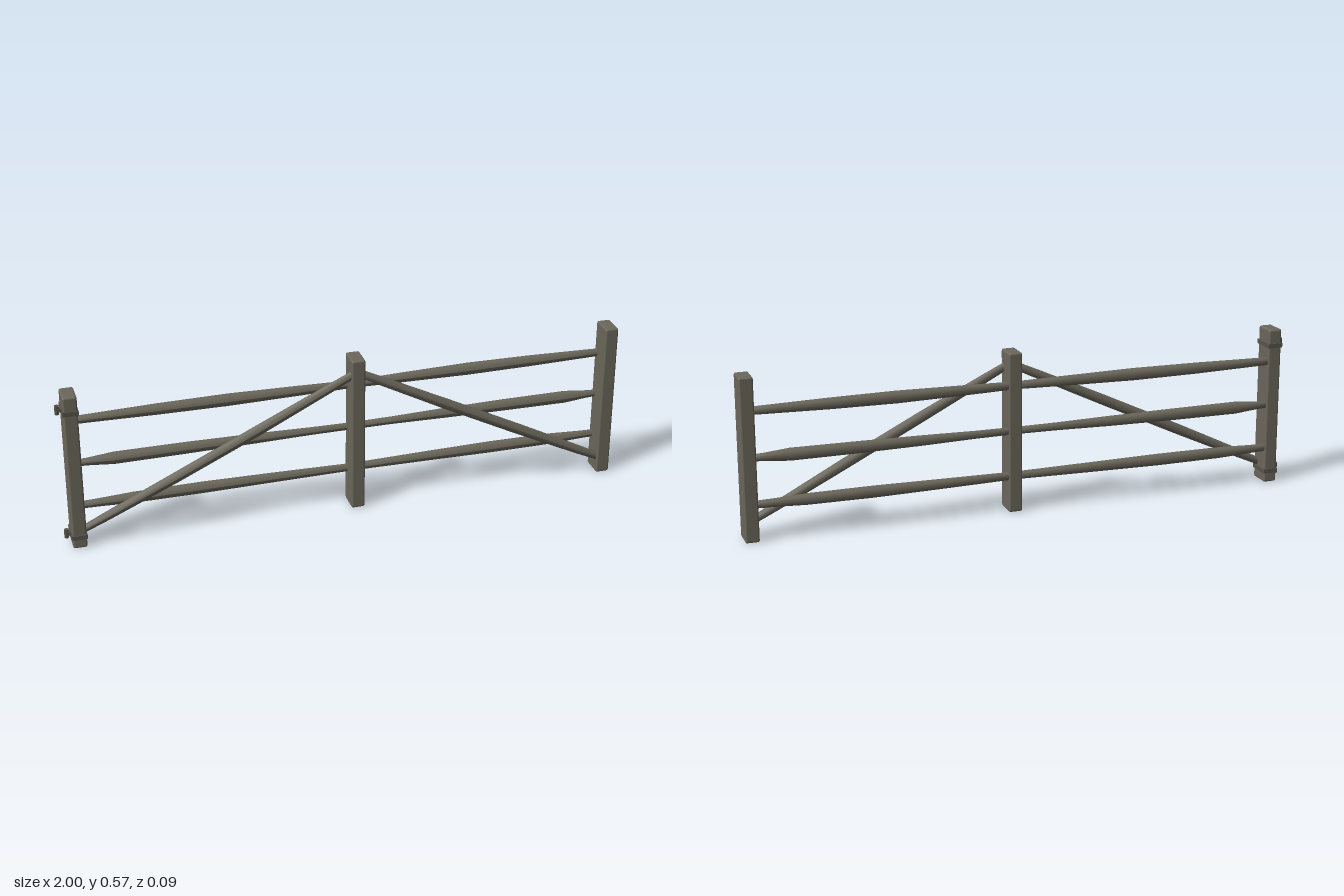
import * as THREE from 'three';
import { RoundedBoxGeometry } from 'three/addons/geometries/RoundedBoxGeometry.js';

export function createModel() {
  const gate = new THREE.Group();
  gate.name = 'woodenGate';
  const wood = new THREE.MeshStandardMaterial({ color: 0x6b675b });
  wood.name = 'weatheredWood';
  const iron = new THREE.MeshStandardMaterial({ color: 0x57544b });
  iron.name = 'darkIron';

  const add = (name, geometry, material, x = 0, y = 0, z = 0, parent = gate) => {
    const mesh = new THREE.Mesh(geometry, material);
    mesh.name = name;
    mesh.position.set(x, y, z);
    parent.add(mesh);
    return mesh;
  };

  // Hand-hewn pole from a to b: profile is [fraction of length, radius], bow pushes the middle in z
  const pole = (name, a, b, profile, bow = 0, flat = 0.85) => {
    const from = new THREE.Vector3(...a), to = new THREE.Vector3(...b);
    const length = from.distanceTo(to);
    const points = profile.map(([t, r]) => new THREE.Vector2(r, t * length));
    points.unshift(new THREE.Vector2(0, 0));
    points.push(new THREE.Vector2(0, length));
    const geometry = new THREE.LatheGeometry(points, 10);
    const p = geometry.attributes.position;
    for (let i = 0; i < p.count; i++) {
      p.setZ(i, p.getZ(i) * flat + bow * Math.sin(Math.PI * p.getY(i) / length));
    }
    geometry.computeVertexNormals();
    const mesh = add(name, geometry, wood, ...a);
    mesh.quaternion.setFromUnitVectors(new THREE.Vector3(0, 1, 0), to.sub(from).normalize());
  };

  // Three upright posts
  const height = 0.575;
  [['hingePost', -0.952], ['middlePost', 0.039], ['latchPost', 0.974]].forEach(([name, x]) =>
    add(name, new RoundedBoxGeometry(0.049, height, 0.084, 2, 0.007), wood, x, height / 2, 0));

  // Horizontal rails on the back half, each tapering towards the middle post
  const rails = [
    ['topRail', 0.457, [[0, 0.014], [0.1, 0.016], [0.3, 0.02], [0.55, 0.022], [0.8, 0.018], [1, 0.014]]],
    ['middleRail', 0.294, [[0, 0.012], [0.05, 0.014], [0.14, 0.022], [0.4, 0.021], [0.65, 0.018], [0.85, 0.014], [1, 0.013]]],
    ['bottomRail', 0.13, [[0, 0.013], [0.08, 0.015], [0.2, 0.02], [0.45, 0.021], [0.7, 0.018], [1, 0.014]]],
  ];
  for (const [name, y, profile] of rails) {
    pole(name + 'Right', [-0.945, y, -0.026], [0.035, y, -0.026], profile, -0.003);
    pole(name + 'Left', [0.965, y, -0.026], [0.045, y, -0.026], profile, -0.003);
  }

  // Diagonal braces on the front half, rising to the middle post
  const brace = [[0, 0.013], [0.1, 0.016], [0.35, 0.019], [0.65, 0.019], [0.9, 0.016], [1, 0.014]];
  pole('braceRight', [-0.95, 0.055, 0.022], [0.035, 0.522, 0.022], brace, 0.009);
  pole('braceLeft', [0.97, 0.052, 0.022], [0.042, 0.522, 0.022], brace, 0.006);

  // Hinges: strap round the post, a short arm and a pin
  for (const [name, y] of [['topHinge', 0.516], ['bottomHinge', 0.042]]) {
    const hinge = new THREE.Group();
    hinge.name = name;
    hinge.position.set(-0.952, y, 0);
    gate.add(hinge);
    add('strap', new THREE.BoxGeometry(0.054, 0.016, 0.09), iron, 0, 0, 0, hinge);
    add('arm', new THREE.BoxGeometry(0.02, 0.012, 0.018), iron, -0.03, 0, 0, hinge);
    add('pin', new THREE.CylinderGeometry(0.008, 0.008, 0.032, 10), iron, -0.04, 0, 0, hinge);
  }

  return gate;
}
